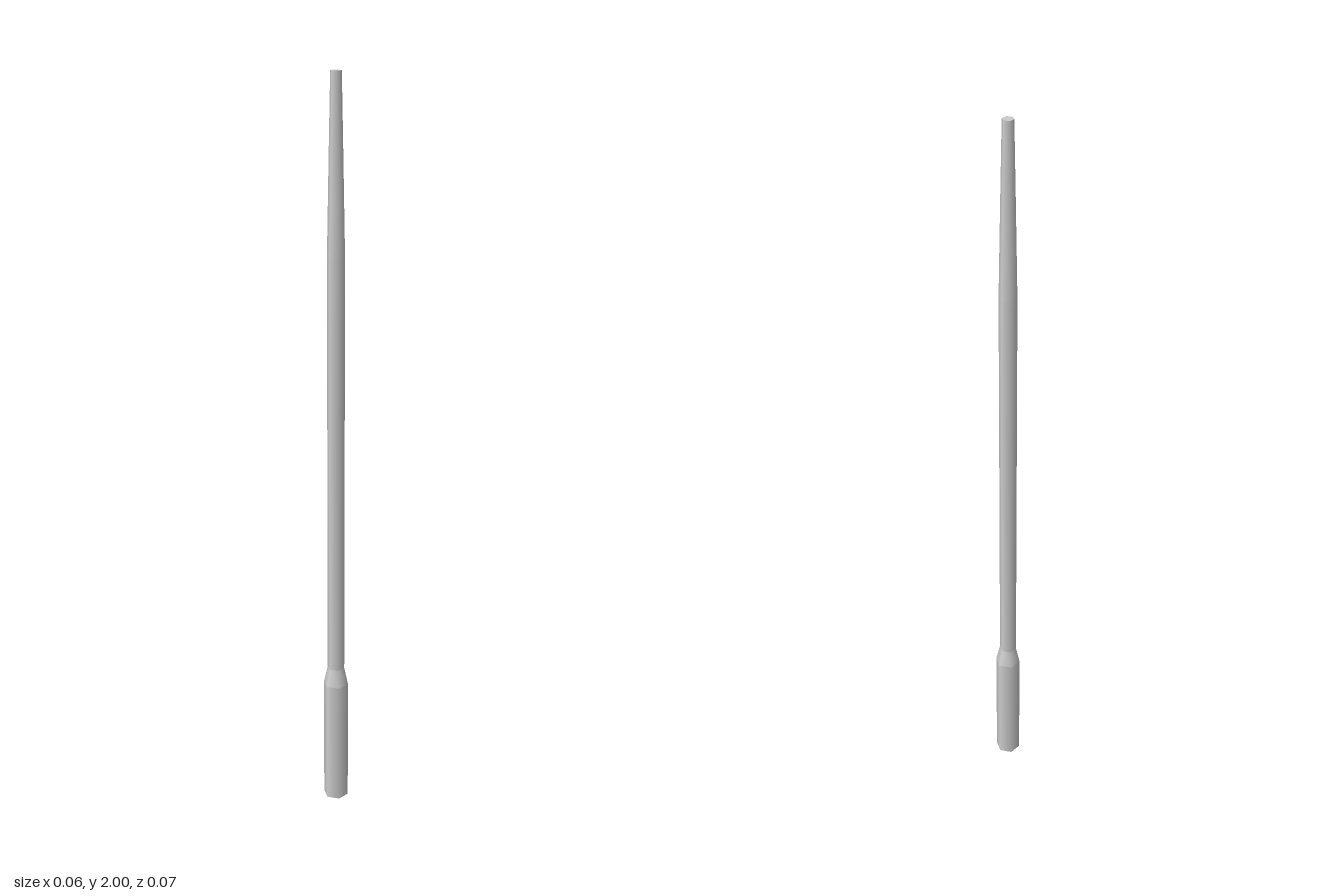
import * as THREE from 'three';

const SIDES = 6;
const TWIST = THREE.MathUtils.degToRad(10);

export function createModel() {
  const group = new THREE.Group();
  const material = new THREE.MeshStandardMaterial({ color: 0xcccccc });

  // Hexagonal section turned from [radius, height] pairs, listed bottom to top
  function addTurned(name, profile) {
    const points = profile.map(([r, y]) => new THREE.Vector2(r, y));
    const mesh = new THREE.Mesh(new THREE.LatheGeometry(points, SIDES, TWIST), material);
    mesh.name = name;
    group.add(mesh);
  }

  // Thick foot with a flared shoulder
  addTurned('footCap', [[0, 0], [0.0345, 0]]);
  addTurned('foot', [[0.0345, 0], [0.0345, 0.355]]);
  addTurned('shoulder', [[0.0345, 0.355], [0.0235, 0.405]]);

  // Long straight shaft
  addTurned('shaft', [[0.0235, 0.405], [0.0232, 1.55]]);

  // Tapering top, closed by a flat cap
  addTurned('taper', [[0.0232, 1.55], [0.018, 1.82], [0.0143, 2]]);
  addTurned('topCap', [[0.0143, 2], [0, 2]]);

  return group;
}
